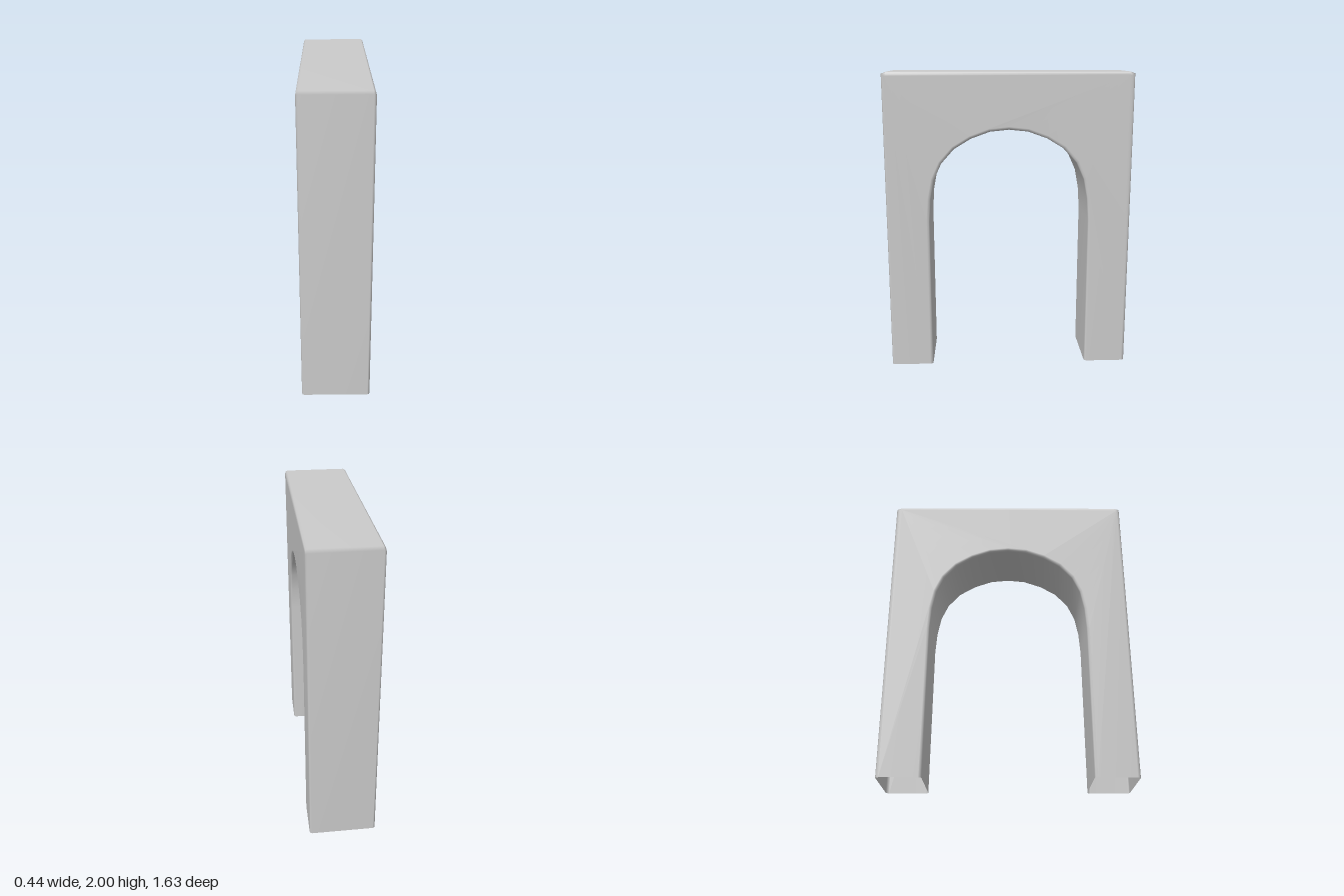
import * as THREE from 'three';
import { mergeVertices } from 'three/addons/utils/BufferGeometryUtils.js';

const HALF_WIDTH = 0.22;
const BEVEL_DEPTH = 0.015;
const BEVEL_SIZE = 0.02;

// Half of the arch opening, from the springing line to just before the apex: [z, y]
const ARCH = [
  [0.53, 0], [0.53, 1.02], [0.52, 1.17], [0.495, 1.3], [0.445, 1.41],
  [0.36, 1.505], [0.25, 1.572], [0.125, 1.617],
];
// Half of the outer outline, from the foot to the top
const OUTER = [[0.813, 0], [0.813, 1.988], [0.78, 2]];

const mirror = (points) => points.map(([z, y]) => [-z, y]).reverse();

function archwayGeometry() {
  const outline = [...OUTER, ...mirror(OUTER), ...mirror(ARCH).reverse(), [0, 1.63], ...[...ARCH].reverse()];
  const shape = new THREE.Shape(outline.map(([z, y]) => new THREE.Vector2(z, y)));
  const depth = 2 * (HALF_WIDTH - BEVEL_DEPTH);
  let geometry = new THREE.ExtrudeGeometry(shape, {
    depth, bevelThickness: BEVEL_DEPTH, bevelSize: BEVEL_SIZE, bevelOffset: -BEVEL_SIZE, bevelSegments: 2,
  });
  geometry.translate(0, 0, -depth / 2).rotateY(Math.PI / 2);
  geometry.deleteAttribute('uv');
  geometry.deleteAttribute('normal');

  // Square off the feet on the ground and leave their undersides open
  const position = geometry.attributes.position;
  for (let i = 0; i < position.count; i++) {
    if (position.getY(i) < BEVEL_SIZE + 0.005) position.setY(i, 0);
  }
  geometry = mergeVertices(geometry, 1e-4);
  const y = (i) => geometry.attributes.position.getY(i);
  const faces = geometry.index.array;
  const kept = [];
  for (let i = 0; i < faces.length; i += 3) {
    const face = [faces[i], faces[i + 1], faces[i + 2]];
    if (face.some((v) => y(v) > 0)) kept.push(...face);
  }
  geometry.setIndex(kept);
  geometry.computeVertexNormals();
  return geometry;
}

export function createModel() {
  const group = new THREE.Group();
  group.name = 'archway';
  const material = new THREE.MeshStandardMaterial({ color: 0xcccccc, side: THREE.DoubleSide });
  const shell = new THREE.Mesh(archwayGeometry(), material);
  shell.name = 'archShell';
  group.add(shell);
  return group;
}
